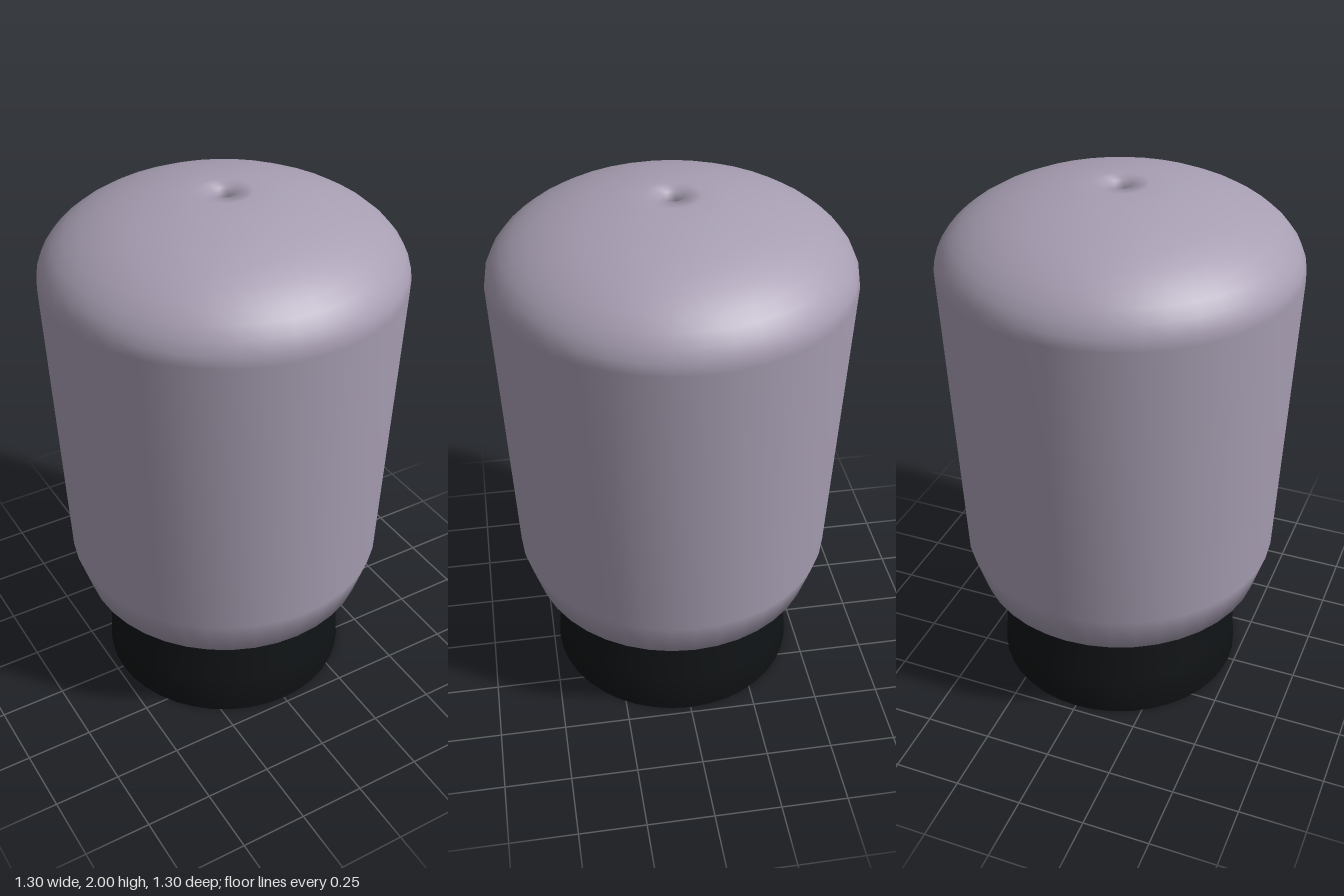
import * as THREE from 'three';

const SEGMENTS = 40;
const BORE = 0.038; // radius of the narrow hole along the axis

// Smooth turned part; each profile starts inside the bore, runs out, up and back down the bore
function turned(name, profile, color) {
  const points = profile.map(([r, y]) => new THREE.Vector2(r, y));
  const material = new THREE.MeshStandardMaterial({ color, side: THREE.DoubleSide });
  const mesh = new THREE.Mesh(new THREE.LatheGeometry(points, SEGMENTS), material);
  mesh.name = name;
  return mesh;
}

export function createModel() {
  const model = new THREE.Group();
  model.name = 'knob';

  // Flared dark foot with a shallow recess underneath
  model.add(turned('foot', [
    [BORE, 0.2], [BORE, 0.04], [0.17, 0.04], [0.455, 0.04], [0.475, 0],
    [0.465, 0.15], [0.398, 0.35], [0.412, 0.415],
    [BORE, 0.415], [BORE, 0.2],
  ], 0x0f1214));

  // Elliptical dome, from the shoulder in to the bore
  const dome = [];
  const steps = 10;
  const last = Math.acos(0.1 / 0.65);
  for (let i = 0; i <= steps; i++) {
    const a = (i / steps) * last;
    dome.push([0.65 * Math.cos(a), 1.7 + 0.3 * Math.sin(a)]);
  }

  // Tapered body with a chamfered lower edge and a nearly flat underside
  model.add(turned('body', [
    [BORE, 1], [BORE, 0.415], [0.412, 0.415], [0.55, 0.4], [0.6, 0.56],
    ...dome,
    [BORE, 1.99], [BORE, 1.95], [BORE, 1],
  ], 0xa79eb2));

  return model;
}
